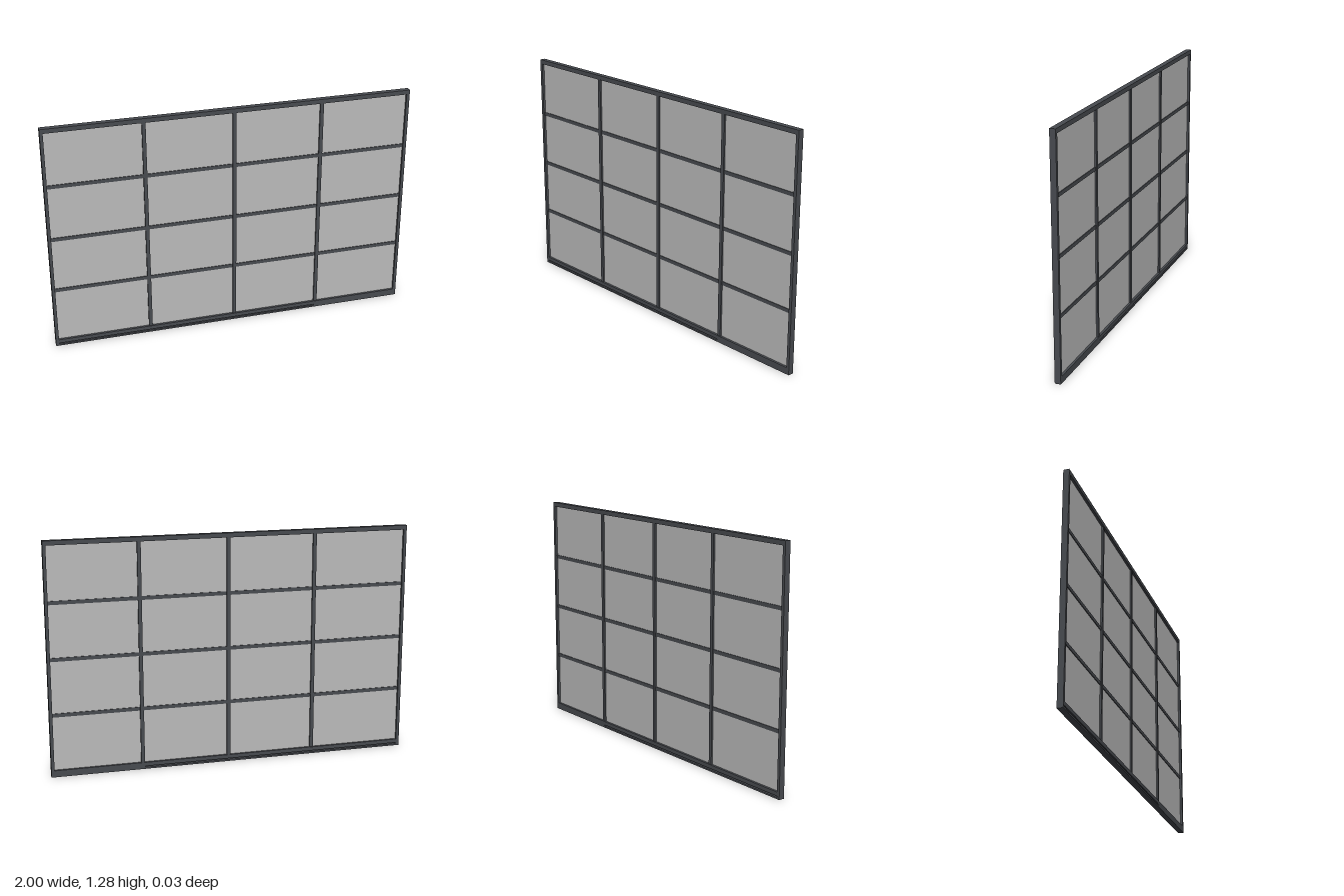
import * as THREE from 'three';

export function createModel() {
  const group = new THREE.Group();
  group.name = 'windowGrid';
  const frameMat = new THREE.MeshStandardMaterial({ color: 0x484b50 });
  frameMat.name = 'dark grey metal';
  const glassMat = new THREE.MeshStandardMaterial({ color: 0xbcbcbc });
  glassMat.name = 'pale grey glass';

  // Box given by its x and y limits and its depth, centred on z = 0
  function bar(name, x0, x1, y0, y1, depth, material = frameMat) {
    const mesh = new THREE.Mesh(new THREE.BoxGeometry(x1 - x0, y1 - y0, depth), material);
    mesh.position.set((x0 + x1) / 2, (y0 + y1) / 2, 0);
    mesh.name = name;
    group.add(mesh);
  }

  const W = 1, H = 1.28, D = 0.032;
  const side = 0.017, top = 1.256, railLow = 0.016, railHigh = 0.037;
  const inner = W - side;

  // Outer frame
  bar('leftStile', inner, W, 0, H, D);
  bar('rightStile', -W, -inner, 0, H, D);
  bar('topRail', -inner, inner, top, H, D);
  bar('bottomRail', -inner, inner, railLow, railHigh, D);

  // Sill below a narrow drainage slot, closed at one end
  bar('sill', -inner, inner, 0, 0.009, D);
  bar('slotFiller', 0.49, inner, 0.009, railLow, D);

  // Upright mullions
  for (const x of [-0.468, 0.016, 0.5]) {
    bar('mullion', x - 0.01, x + 0.01, railHigh, top, 0.024);
  }

  // Horizontal glazing bars
  for (const y of [0.343, 0.648, 0.953]) {
    bar('glazingBar', -inner, inner, y - 0.01, y + 0.01, 0.014);
  }

  // Glass sheet
  bar('glass', -inner, inner, railHigh, top, 0.006, glassMat);

  return group;
}
